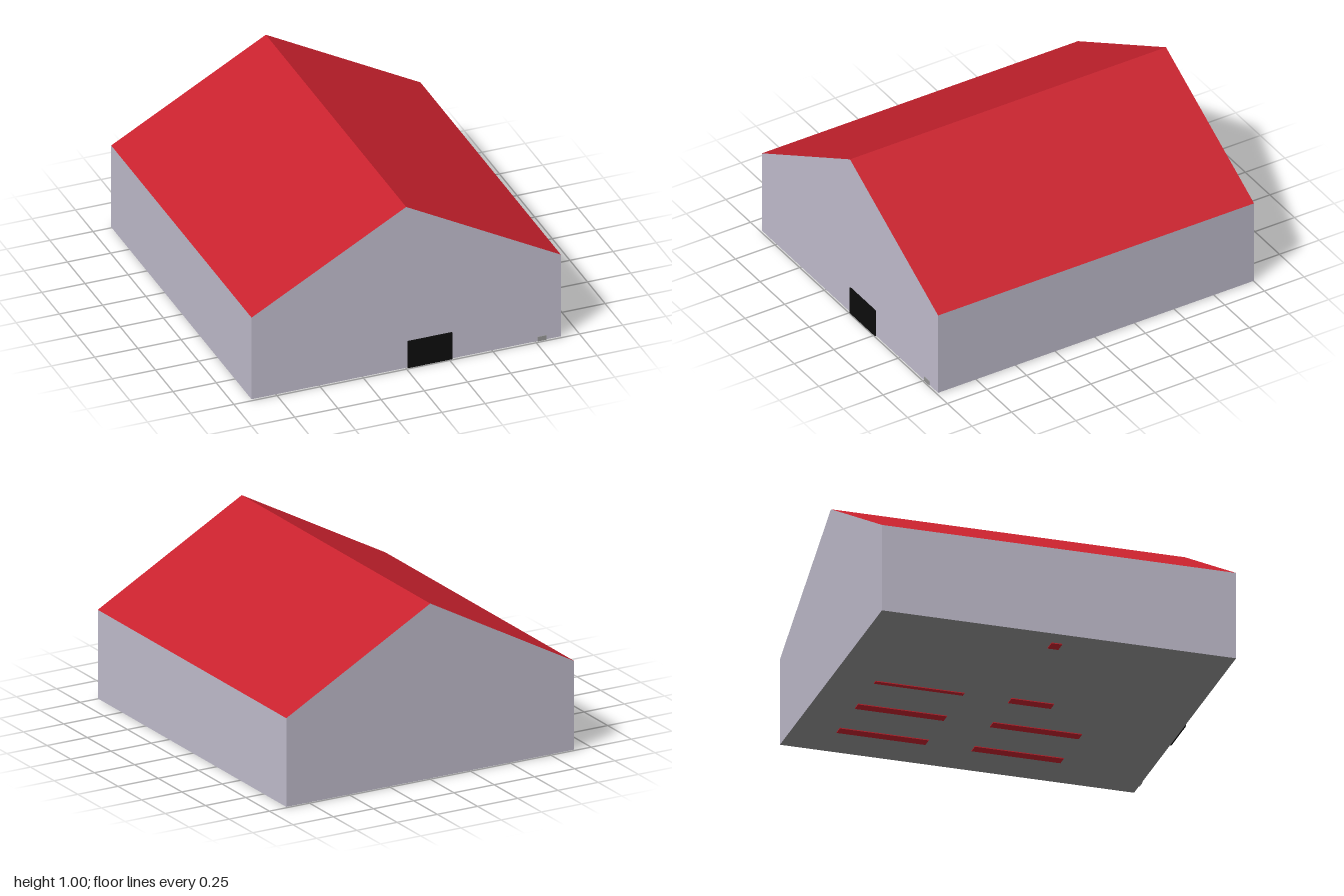
import * as THREE from 'three';

const FRONT = 0.993, BACK = -1, BASE = 0.005;

export function createModel() {
  const group = new THREE.Group();
  const mat = (name, color) => new THREE.MeshStandardMaterial({ name, color });
  const wallMat = mat('paleLilac', 0xc0bccc);
  const redMat = mat('red', 0xc8212d);
  const blackMat = mat('black', 0x0c0c0c);
  const greyMat = mat('grey', 0x959595);

  const add = (name, geometry, material) => {
    const mesh = new THREE.Mesh(geometry, material);
    mesh.name = name;
    group.add(mesh);
    return mesh;
  };
  const box = (name, material, w, h, d, x, y, z) =>
    add(name, new THREE.BoxGeometry(w, h, d), material).position.set(x, y, z);

  // Gable outline, counter-clockwise seen from the front
  const outline = [[-0.895, BASE], [0.895, BASE], [0.895, 0.51], [0, 1], [-0.895, 0.51]]
    .map(([x, y]) => new THREE.Vector2(x, y));

  // Floor, side walls and roof slopes run front to back along the outline
  const parts = [['floor', greyMat], ['leftWall', wallMat], ['leftRoof', redMat],
    ['rightRoof', redMat], ['rightWall', wallMat]];
  parts.forEach(([name, material], i) => {
    const a = outline[i], b = outline[(i + 1) % outline.length];
    const corners = [[a, FRONT], [a, BACK], [b, BACK], [b, FRONT]]
      .map(([p, z]) => new THREE.Vector3(p.x, p.y, z));
    const geometry = new THREE.BufferGeometry().setFromPoints(corners);
    geometry.setIndex([0, 1, 2, 0, 2, 3]);
    geometry.computeVertexNormals();
    add(name, geometry, material);
  });

  // Gable walls
  const gable = new THREE.ShapeGeometry(new THREE.Shape(outline));
  add('frontGable', gable, wallMat).position.z = FRONT;
  const backGable = add('backGable', gable, wallMat);
  backGable.position.z = BACK;
  backGable.rotation.y = Math.PI;

  // Door opening and small box at the foot of the front wall
  box('door', blackMat, 0.258, 0.165, 0.007, 0.136, 0.0865, 0.9965);
  box('frontVent', greyMat, 0.05, 0.027, 0.004, 0.785, 0.0175, 0.995);

  // Red strips showing through the floor in two rows of three
  for (const z of [-0.51, 0.25]) {
    for (const x of [0.62, 0.3, -0.02]) {
      const length = x < 0 && z > 0 ? 0.24 : 0.5;
      box('floorStrip', redMat, x < 0 && z < 0 ? 0.03 : 0.06, 0.005, length,
        x, 0.0025, x < 0 && z > 0 ? 0.12 : z);
    }
  }
  box('smallFloorStrip', redMat, 0.07, 0.005, 0.06, -0.75, 0.0025, 0.02);

  return group;
}
